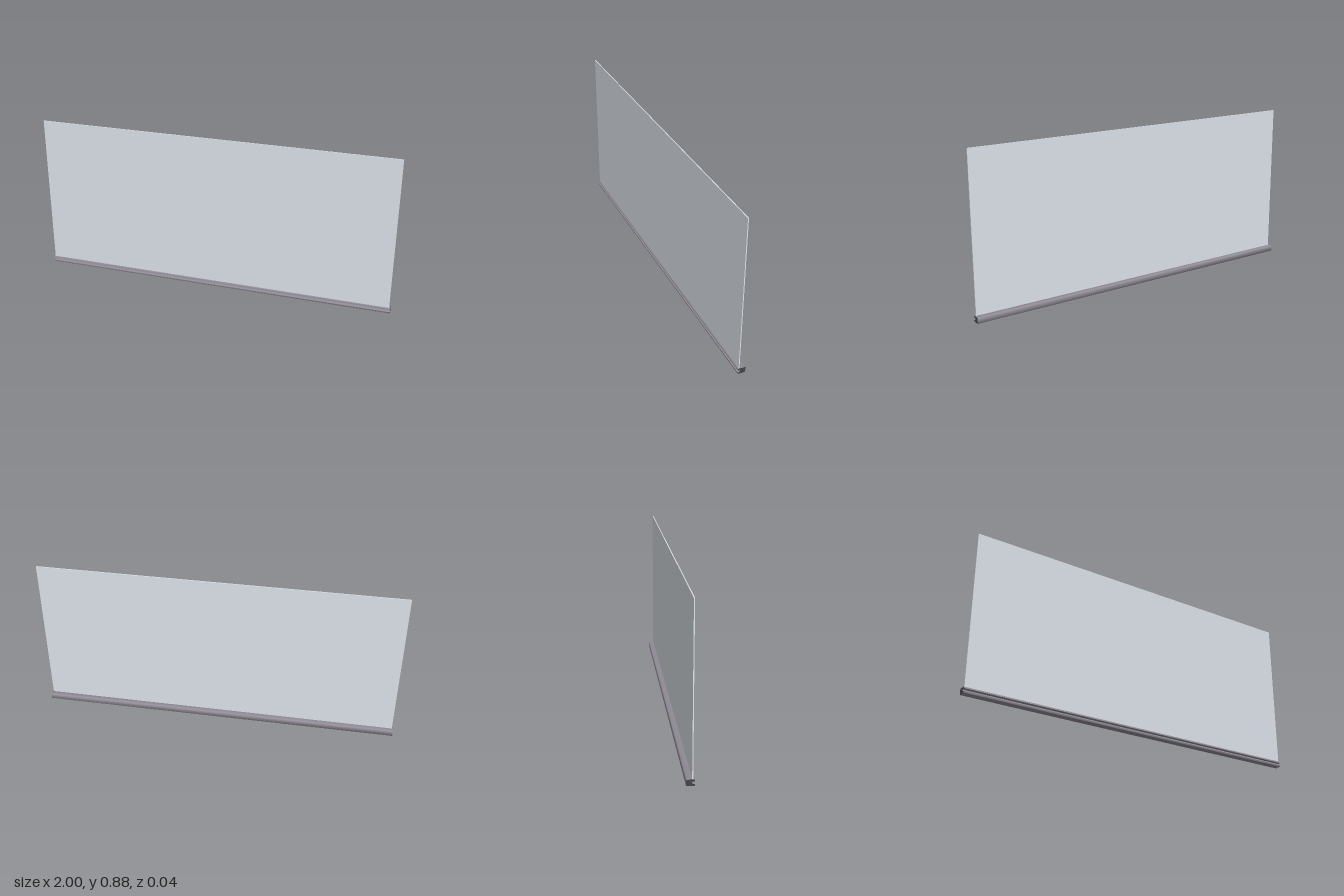
import * as THREE from 'three';
import { toCreasedNormals } from 'three/addons/utils/BufferGeometryUtils.js';

const LENGTH = 2;

// Rail cross-section: x is depth (front positive), y is up, with a tapering slot in the front
function railProfile() {
  const back = -0.02, front = 0.021, top = 0.032, r = 0.003;
  return new THREE.Shape([
    [back + r, 0], [front - r, 0], [front, r],
    [front, 0.009], [0.014, 0.0095], [0.008, 0.013],
    [0.008, 0.02], [0.014, 0.0225], [front, 0.023],
    [front, top - r], [front - r, top],
    [back + r, top], [back, top - r], [back, r],
  ].map(([z, y]) => new THREE.Vector2(z, y)));
}

export function createModel() {
  const group = new THREE.Group();
  group.name = 'glassScreen';

  // Slotted base rail, running along x, softly shaded around its corners with dark ends
  const railGeo = new THREE.ExtrudeGeometry(railProfile(), { depth: LENGTH, bevelEnabled: false });
  railGeo.translate(0, 0, -LENGTH / 2);
  railGeo.rotateY(-Math.PI / 2);
  const rail = new THREE.Mesh(toCreasedNormals(railGeo, Math.PI / 3), [
    new THREE.MeshStandardMaterial({ color: 0x45444a }),
    new THREE.MeshStandardMaterial({ color: 0x928d97 }),
  ]);
  rail.name = 'baseRail';
  group.add(rail);

  // Thin upright pane standing in the rail, slightly shorter than it
  const bottom = 0.024, top = 0.885;
  const pane = new THREE.Mesh(
    new THREE.BoxGeometry(1.988, top - bottom, 0.005),
    new THREE.MeshStandardMaterial({ color: 0xdde4ea }),
  );
  pane.name = 'glassPane';
  pane.position.set(0, (top + bottom) / 2, 0.0115);
  group.add(pane);

  return group;
}
